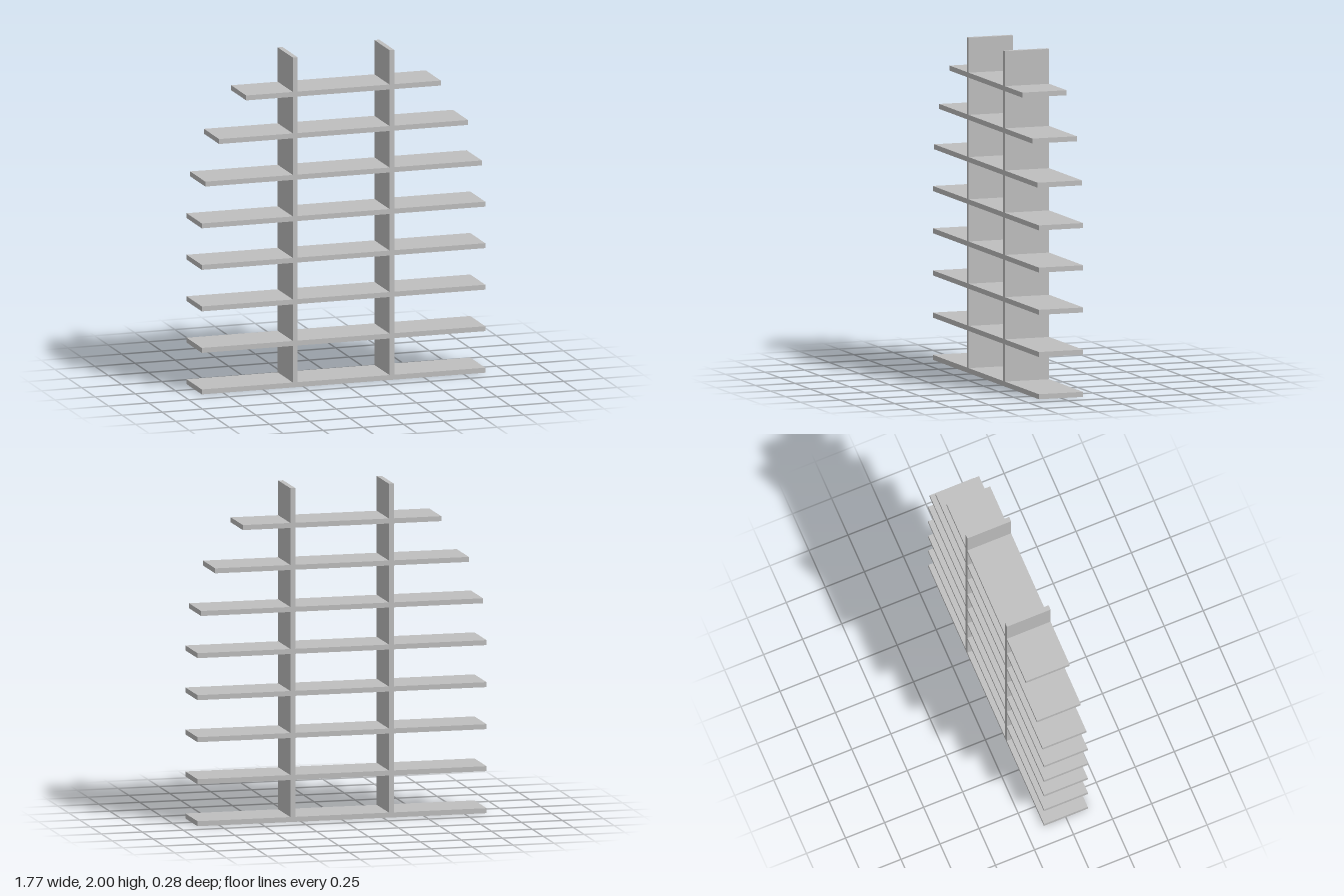
import * as THREE from 'three';

const THICK = 0.03;     // board thickness
const DEPTH = 0.28;     // shelf depth
const PITCH = 0.2517;   // vertical shelf spacing
const HEIGHT = 2;
const POST_X = 0.301;
// half widths of the shelves, bottom to top
const HALF_WIDTHS = [0.883, 0.883, 0.883, 0.883, 0.883, 0.861, 0.775, 0.606];

export function createModel() {
  const group = new THREE.Group();
  const grey = new THREE.MeshStandardMaterial({ color: 0xbfbfbf });
  grey.name = 'grey board';

  const addBoard = (name, width, height, x, bottom) => {
    const board = new THREE.Mesh(new THREE.BoxGeometry(width, height, DEPTH), grey);
    board.name = name;
    board.position.set(x, bottom + height / 2, 0);
    group.add(board);
  };

  HALF_WIDTHS.forEach((half, i) => {
    const bottom = i * PITCH;
    addBoard(`shelf${i + 1}`, half * 2, THICK, 0, bottom);

    // upright panels fill the gap to the next shelf; the last ones rise to the top
    const start = bottom + THICK;
    const end = i < HALF_WIDTHS.length - 1 ? bottom + PITCH : HEIGHT;
    addBoard(`leftUpright${i + 1}`, THICK, end - start, POST_X, start);
    addBoard(`rightUpright${i + 1}`, THICK, end - start, -POST_X, start);
  });

  return group;
}
